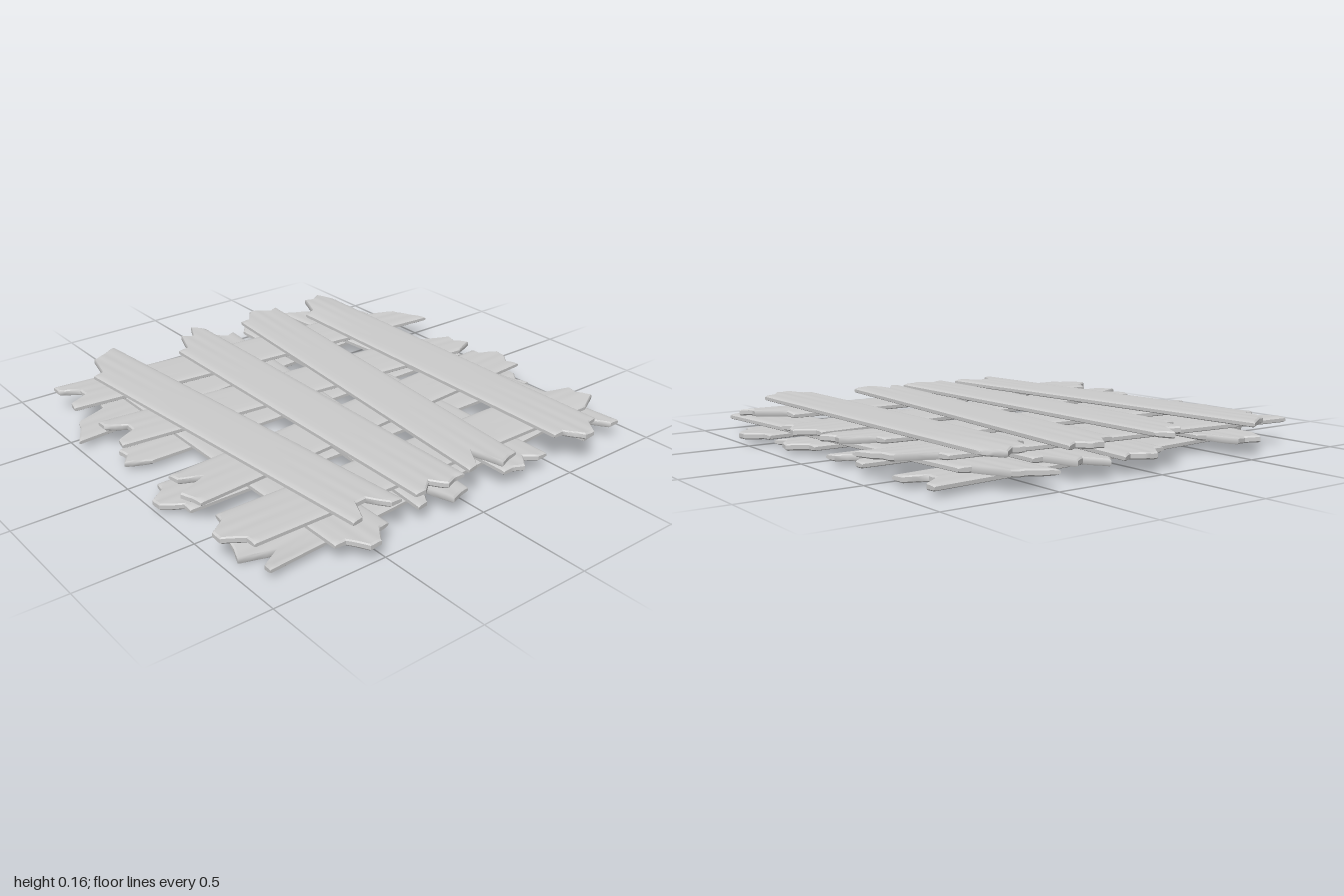
import * as THREE from 'three';
import { toCreasedNormals } from 'three/addons/utils/BufferGeometryUtils.js';

const WIDTH = 0.25, HALF = 0.0145;

// Jagged plank ends: reach at six even steps across the width
const tongue = [0.92, 0.93, 1, 1, 0.92, 0.92];
const notch = [0.92, 0.93, 0.95, 0.81, 0.9, 0.91];
const slot = [0.91, 0.91, 0.83, 0.83, 0.92, 0.93];
const chip = [0.92, 0.92, 0.94, 0.88, 0.92, 0.92];
const step = [0.84, 0.94, 0.9, 0.91, 0.78, 0.77];
const claw = [0.92, 0.98, 0.88, 0.91, 0.77, 0.77];
const twin = [0.95, 0.92, 0.96, 0.97, 0.89, 0.89];
const slant = [1, 0.97, 0.94, 0.92, 0.77, 0.76];
const flip = profile => [...profile].reverse();

function reachAt(profile, u) {
  const i = Math.min(4, Math.floor(u * 5 + 1e-6));
  return THREE.MathUtils.lerp(profile[i], profile[i + 1], u * 5 - i);
}

// Splintered plank lofted along its length between two jagged ends.
// edge0, edge1: low side of the plank at its two ends; warp: lift of the tip at side warpEnd
function plankGeometry(alongZ, y, [edge0, edge1, start, end, warp = 0, warpEnd = 1]) {
  const us = [0, 0.015, 0.03];
  for (let i = 1; i < 20; i++) us.push(i / 20);
  us.push(0.97, 0.985, 1);
  const n = us.length, ring = 2 * n, segments = 24;
  const pos = [], idx = [];

  for (let i = 0; i <= segments; i++) {
    // Stations crowd towards both ends
    const s = (1 - Math.cos(Math.PI * i / segments)) / 2;
    const tip = i % segments === 0 ? 0.6 : 1;
    for (let k = 0; k < ring; k++) {
      const top = k < n, u = us[top ? k : ring - 1 - k];
      const a = THREE.MathUtils.lerp(-reachAt(start, u), reachAt(end, u), s);
      const w = THREE.MathUtils.lerp(edge0, edge1, (a + 0.92) / 1.84) + u * WIDTH;
      // Rounded long edges, shallow dome and wood grain that fades from the ends
      const e = Math.abs(2 * u - 1), fade = Math.max(0, Math.abs(a) - 0.3);
      const grain = 0.0025 * fade * Math.sin(u * 23 + edge0 * 9) * (1 - e);
      const h = HALF * tip * (1 - 0.12 * e * e - 0.4 * e ** 16);
      const lift = warp * THREE.MathUtils.smoothstep(warpEnd * a, 0.4, 0.85) * (1 - e * e);
      const py = y + lift + (top ? h : -h) + grain;
      pos.push(alongZ ? w : a, py, alongZ ? a : w);
    }
  }

  const tri = (a, b, c) => (alongZ ? idx.push(a, c, b) : idx.push(a, b, c));
  const quad = (a, b, c, d) => { tri(a, b, c); tri(c, b, d); };
  const last = segments * ring;
  for (let i = 0; i < segments; i++)
    for (let k = 0; k < ring; k++) {
      const p = i * ring + k, q = i * ring + (k + 1) % ring;
      quad(p, q, p + ring, q + ring);
    }
  // Broken end faces
  for (let k = 0; k < n - 1; k++) {
    const b = ring - 1 - k;
    quad(k, b, k + 1, b - 1);
    quad(last + k, last + k + 1, last + b, last + b - 1);
  }
  const g = new THREE.BufferGeometry();
  g.setAttribute('position', new THREE.Float32BufferAttribute(pos, 3));
  g.setIndex(idx);
  return toCreasedNormals(g, 0.6);
}

// Four crossing layers; each plank: edge0, edge1, start end, far end, warp, warpEnd
const layers = [
  { name: 'bottomLengthwisePlank', alongZ: true, planks: [
    [-0.83, -0.67, slot, flip(slant)],
    [-0.33, -0.33, slot, flip(step)],
    [0.1, 0.1, flip(twin), tongue],
    [0.46, 0.61, tongue, notch, -0.019, 1],
  ] },
  { name: 'lowerCrosswisePlank', alongZ: false, planks: [
    [-0.75, -0.91, flip(slant), slot],
    [-0.44, -0.44, flip(claw), flip(chip)],
    [-0.14, 0.01, twin, notch],
    [0.42, 0.42, flip(step), tongue, -0.009, -1],
  ] },
  { name: 'upperLengthwisePlank', alongZ: true, planks: [
    [-0.68, -0.83, flip(slant), slot],
    [-0.25, -0.4, flip(step), slot],
    [0.03, 0.18, flip(twin), flip(notch)],
    [0.53, 0.53, flip(step), tongue, 0.012, -1],
  ] },
  { name: 'topCrosswisePlank', alongZ: false, planks: [
    [-0.73, -0.73, step, tongue, 0.009, -1],
    [-0.41, -0.25, twin, notch],
    [0.035, 0.035, claw, chip],
    [0.505, 0.345, slant, slot],
  ] },
];

export function createModel() {
  const group = new THREE.Group();
  group.name = 'plankLattice';
  const material = new THREE.MeshStandardMaterial({ color: 0xcccccc });
  layers.forEach(({ name, alongZ, planks }, level) =>
    planks.forEach((plank, i) => {
      const mesh = new THREE.Mesh(plankGeometry(alongZ, 0.034 + level * 0.0353, plank), material);
      mesh.name = `${name}${i + 1}`;
      group.add(mesh);
    }));
  return group;
}
